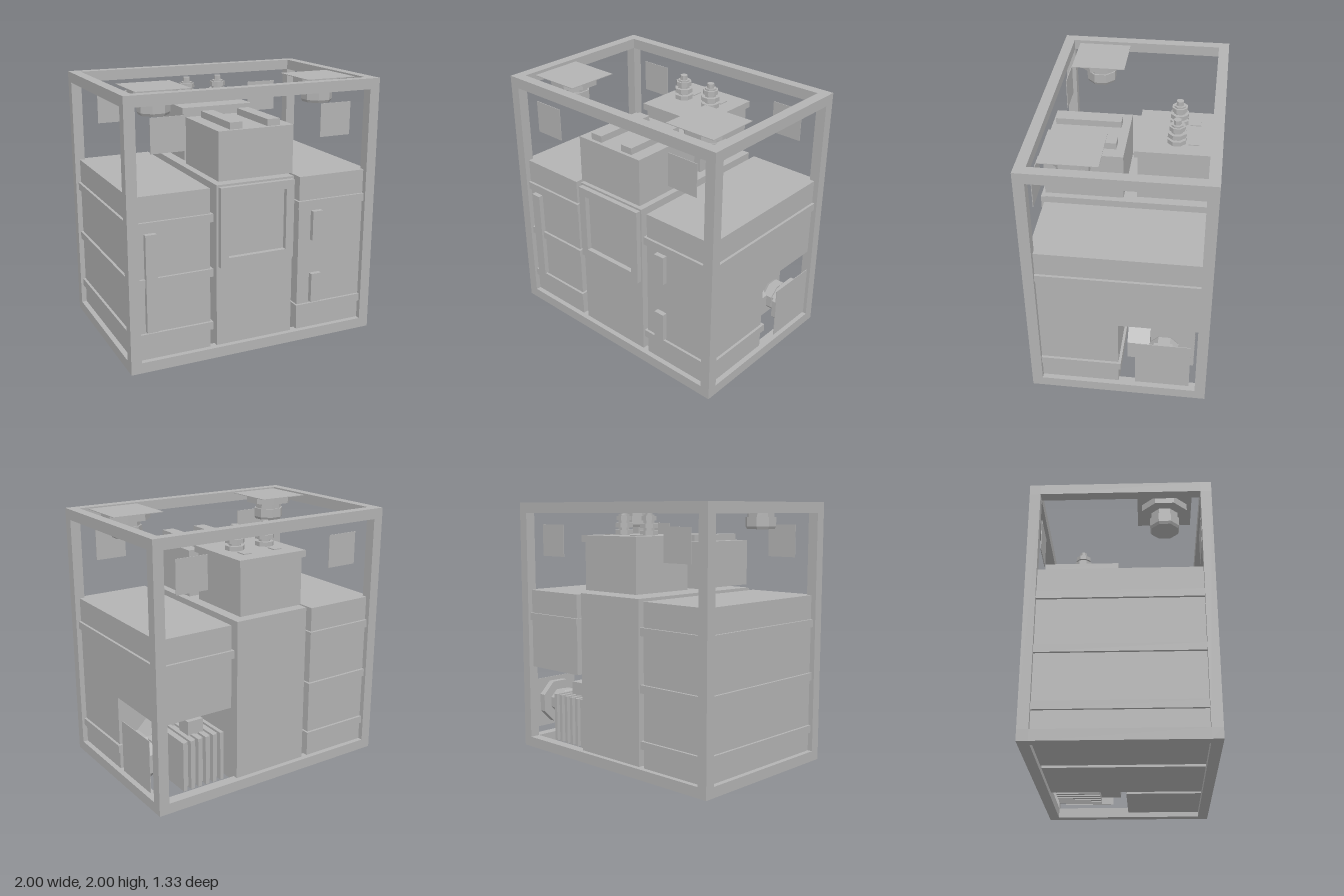
import * as THREE from 'three';

export function createModel() {
  const root = new THREE.Group();
  const grey = new THREE.MeshStandardMaterial({ color: 0xb3b3b3, flatShading: true, side: THREE.DoubleSide });
  grey.name = 'grey';

  const add = (name, geo, parent = root) => {
    const m = new THREE.Mesh(geo, grey);
    m.name = name;
    parent.add(m);
    return m;
  };
  // box given by its two extremes on each axis
  const box = (name, x0, x1, y0, y1, z0, z1, parent = root) => {
    const m = add(name, new THREE.BoxGeometry(x1 - x0, y1 - y0, z1 - z0), parent);
    m.position.set((x0 + x1) / 2, (y0 + y1) / 2, (z0 + z1) / 2);
    return m;
  };
  // octagonal drum with flats facing the axes, r is the flat distance
  const drum = (name, r, y0, y1, parent, rBottom = r) => {
    const k = 1 / Math.cos(Math.PI / 8);
    const g = new THREE.CylinderGeometry(r * k, rBottom * k, y1 - y0, 8).rotateY(Math.PI / 8);
    const m = add(name, g, parent);
    m.position.y = (y0 + y1) / 2;
    return m;
  };

  // Open outer frame
  const X = 1, Z = 0.667, B = 0.08;
  for (const y of [0, 2 - B]) {
    for (const s of [-1, 1]) {
      const z = s > 0 ? Z - B : -Z;
      box('frameBeamLong', -X, X, y, y + B, z, z + B);
      const x = s > 0 ? X - B : -X;
      box('frameBeamShort', x, x + B, y, y + B, -Z + B, Z - B);
    }
  }
  for (const x of [-X, X - B])
    for (const z of [-Z, Z - B]) box('framePost', x, x + B, B, 2 - B, z, z + B);

  // Left cabinet with three bands and one long handle
  const D = 0.627;
  box('leftCabinet', -0.96, -0.367, 0.04, 1.3, -D, D);
  for (const y of [0.225, 0.64, 1.055]) box('leftBand', -0.98, -0.35, y, y + 0.06, -D - 0.02, D + 0.02);
  box('longHandle', -0.87, -0.785, 0.3, 1.03, D, 0.665);

  // Right cabinet, cut away at the lower back
  box('rightCabinetUpper', 0.362, 0.96, 0.67, 1.3, -D, D);
  box('rightCabinetLower', 0.362, 0.96, 0.04, 0.67, 0, D);
  box('rightBandUpper', 0.347, 0.98, 1.055, 1.115, -D - 0.02, D + 0.02);
  box('rightBandLower', 0.347, 0.98, 0.225, 0.285, -0.02, D + 0.02);
  for (const y of [0.3, 0.8]) box('shortHandle', 0.465, 0.55, y, y + 0.23, D, 0.665);

  // Central column with a framed front panel
  box('centralColumn', -0.315, 0.31, 0.04, 1.315, -D, D);
  const panel = new THREE.Shape();
  panel.moveTo(-0.3, 0.7).lineTo(0.297, 0.7).lineTo(0.297, 1.3).lineTo(-0.3, 1.3).closePath();
  const hole = new THREE.Path();
  hole.moveTo(-0.235, 0.77).lineTo(-0.235, 1.235).lineTo(0.232, 1.235).lineTo(0.232, 0.77).closePath();
  panel.holes.push(hole);
  add('panelFrame', new THREE.ExtrudeGeometry(panel, { depth: 0.04, bevelEnabled: false })).position.z = 0.625;

  // Upper front box with two rails
  box('frontBox', -0.3, 0.296, 1.34, 1.7, 0.037, D);
  for (const x of [-0.2, 0.098]) box('topRail', x, x + 0.1, 1.7, 1.75, 0.1, 0.6);

  // Upper back box with lid, insulators and small plates
  box('backBox', -0.272, 0.272, 1.34, 1.705, -0.607, -0.062);
  box('backLid', -0.293, 0.293, 1.705, 1.755, -D, -0.04);
  for (const s of [-1, 1]) {
    const insulator = new THREE.Group();
    insulator.name = 'insulator';
    insulator.position.set(s * 0.134, 0, -0.335);
    root.add(insulator);
    drum('insulatorCore', 0.042, 1.755, 1.91, insulator);
    for (const [y, r] of [[1.76, 0.066], [1.812, 0.066], [1.865, 0.056]])
      drum('insulatorDisc', r, y, y + 0.033, insulator);
    drum('insulatorTip', 0.026, 1.9, 1.945, insulator);
    box('lidPlate', s * 0.134 - 0.035, s * 0.134 + 0.035, 1.755, 1.762, -0.5, -0.42);
  }

  // Port: square plate, octagonal flange and neck, hanging below its origin
  const port = (name) => {
    const g = new THREE.Group();
    g.name = name;
    root.add(g);
    box('portPlate', -0.205, 0.205, -0.005, 0, -0.205, 0.205, g);
    drum('portFlange', 0.17, -0.06, -0.005, g);
    drum('portCollar', 0.098, -0.11, -0.06, g);
    drum('portNeck', 0.11, -0.18, -0.11, g);
    drum('portTip', 0.11, -0.2, -0.18, g, 0.1);
    return g;
  };
  for (const s of [-1, 1]) port('topPort').position.set(s * 0.665, 2, 0.327);
  const sidePort = port('sidePort');
  sidePort.rotation.z = -Math.PI / 2;
  sidePort.position.set(1, 0.335, -0.335);

  // Square plates at the upper corners
  for (const s of [-1, 1])
    for (const z of [-0.6, 0.595])
      box('cornerPlate', s * 0.667 - 0.127, s * 0.667 + 0.127, 1.58, 1.83, z, z + 0.005);

  // Motor and cooling fins in the cut-away
  const motor = new THREE.Group();
  motor.name = 'motor';
  motor.position.set(0.66, 0.305, -0.055);
  motor.rotation.x = -Math.PI / 2;
  root.add(motor);
  drum('motorBody', 0.185, -0, 0.17, motor);
  box('finCore', 0.4, 0.72, 0.08, 0.44, -0.52, -0.22);
  for (let i = 0; i < 6; i++) {
    const x = 0.385 + i * 0.064;
    box('coolingFin', x, x + 0.03, 0.07, 0.457, -0.562, -0.215);
  }
  box('terminalBox', 0.5, 0.63, 0.45, 0.56, -0.46, -0.335);

  return root;
}
